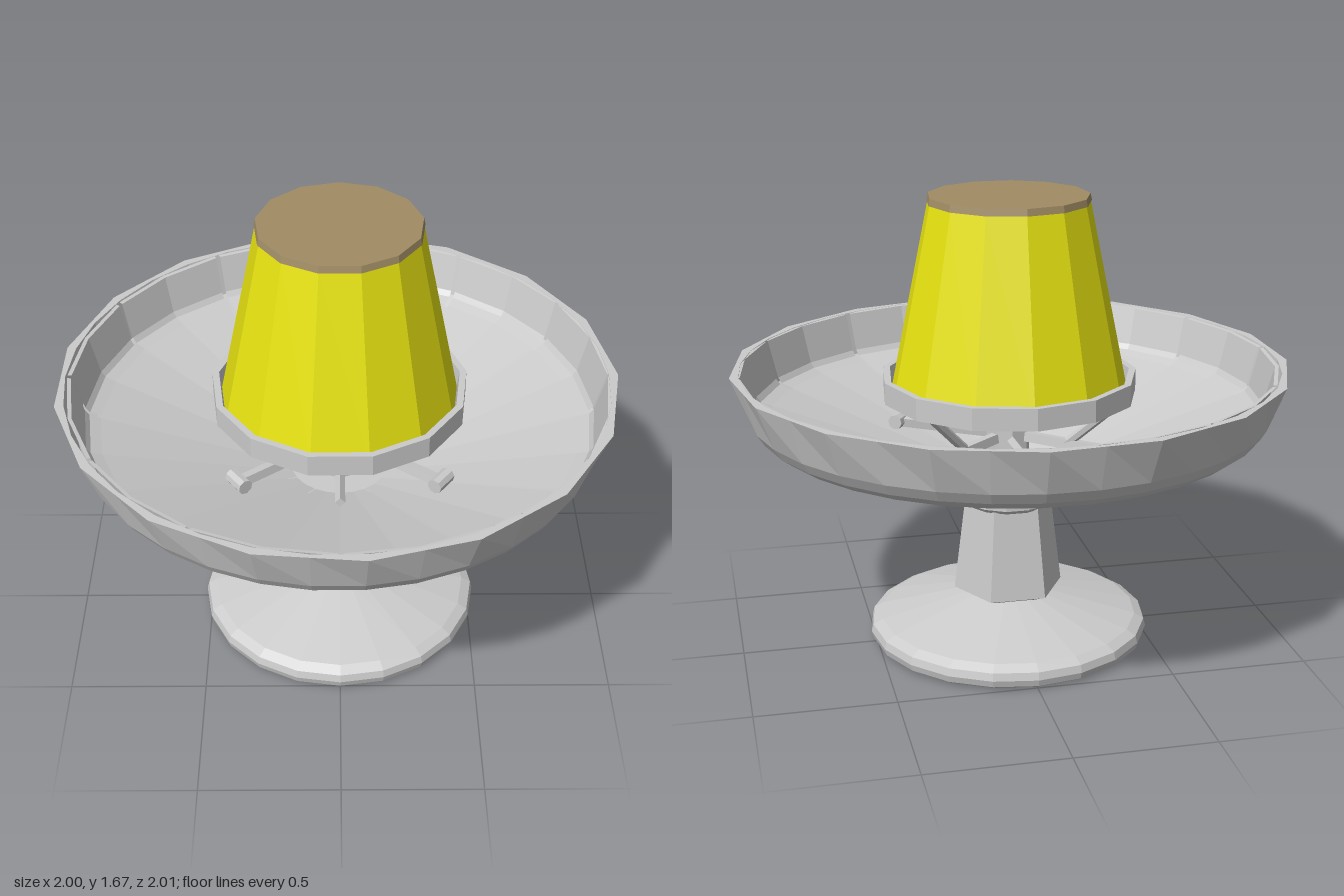
import * as THREE from 'three';

const material = (color) => new THREE.MeshStandardMaterial({ color, flatShading: true, side: THREE.DoubleSide });
const grey = material(0xcccccc);
const yellow = material(0xe8e411);
const brown = material(0xa18d65);

export function createModel() {
  const model = new THREE.Group();

  const add = (name, geometry, mat = grey, parent = model) => {
    const mesh = new THREE.Mesh(geometry, mat);
    mesh.name = name;
    parent.add(mesh);
    return mesh;
  };
  const lathe = (points, sides, start = 0, sweep = Math.PI * 2) =>
    new THREE.LatheGeometry(points.map(([r, y]) => new THREE.Vector2(r, y)), sides, start, sweep);
  // Square or round bar between two points
  const bar = (name, from, to, radius, sides, parent) => {
    const a = new THREE.Vector3(...from), b = new THREE.Vector3(...to);
    const mesh = add(name, new THREE.CylinderGeometry(radius, radius, a.distanceTo(b), sides), grey, parent);
    mesh.position.copy(a).lerp(b, 0.5);
    mesh.quaternion.setFromUnitVectors(new THREE.Vector3(0, 1, 0), b.sub(a).normalize());
    return mesh;
  };

  // Pedestal: rounded foot, neck, six-sided column, collar
  add('foot', lathe([[0, 0], [0.49, 0], [0.515, 0.015], [0.522, 0.04], [0.515, 0.068], [0.48, 0.088],
    [0.14, 0.175], [0, 0.175]], 20));
  add('neck', lathe([[0, 0.165], [0.14, 0.165], [0.2, 0.195], [0, 0.195]], 6)).rotation.y = Math.PI / 2;
  add('column', new THREE.CylinderGeometry(0.163, 0.205, 0.34, 6)).position.y = 0.365;
  model.getObjectByName('column').rotation.y = Math.PI / 2;
  add('collar', lathe([[0, 0.53], [0.16, 0.53], [0.175, 0.545], [0.175, 0.585], [0.165, 0.605], [0, 0.605]], 13));

  // Dish shell: 34 sides below, with a 17-sided rim that makes triangular facets
  const profile = [[0, 0.6], [0.17, 0.6], [0.88, 0.83], [0.92, 0.86], [0.945, 0.9], [1.008, 1.06],
    [0.975, 1.06], [0.938, 0.895], [0.88, 0.868], [0.2, 0.655], [0, 0.655]];
  const shell = lathe(profile, 34);
  const pos = shell.attributes.position;
  for (let i = 1; i < 34; i += 2) {
    const k = i * profile.length + 5, s = Math.cos(Math.PI / 17);
    pos.setXYZ(k, pos.getX(k) * s, pos.getY(k), pos.getZ(k) * s);
  }
  const dish = add('dish', shell);
  dish.rotation.y = Math.PI / 2;
  dish.position.x = -0.008;

  // Twelve lining panels with narrow gaps between them
  const panels = new THREE.Group();
  panels.name = 'dishPanels';
  model.add(panels);
  const gap = 0.009;
  for (let i = 0; i < 12; i++) {
    add('dishPanel', lathe([[0.976, 1.059], [0.962, 1.057], [0.925, 0.915], [0.91, 0.895], [0.87, 0.88], [0.18, 0.665]],
      2, i * Math.PI / 6 + gap, Math.PI / 6 - 2 * gap), grey, panels);
  }

  // Support frame: crossed arms with knuckles at the ends and struts up to the ring
  const frame = new THREE.Group();
  frame.name = 'supportFrame';
  model.add(frame);
  bar('hub', [0, 0.65, 0], [0, 0.95, 0], 0.08, 8, frame);
  for (const x of [-0.36, 0.36]) {
    for (const z of [-0.29, 0.26]) {
      bar('arm', [0, 0.79, 0], [x, 0.78, z], 0.024, 4, frame);
      bar('knuckle', [x - z * 0.1, 0.785, z + x * 0.1], [x + z * 0.1, 0.785, z - x * 0.1], 0.028, 8, frame);
      bar('strut', [x * 0.5, 0.78, z * 0.5], [x * 0.93, 0.96, z * 0.93], 0.018, 6, frame);
    }
  }
  for (const z of [-0.42, 0.4]) bar('crossArm', [0, 0.78, 0], [0, 0.8, z], 0.018, 4, frame);

  // Ring holding the pudding, and the pudding itself, thirteen sides each
  const top = new THREE.Group();
  top.name = 'puddingAndRing';
  top.position.z = -0.015;
  top.rotation.y = Math.PI;
  model.add(top);
  add('ring', lathe([[0.43, 0.95], [0.465, 0.95], [0.465, 1.03], [0.44, 1.03], [0.43, 0.95]], 13), grey, top);
  add('pudding', lathe([[0, 0.96], [0.433, 0.96], [0.29, 1.65], [0, 1.65]], 13), yellow, top);
  add('caramelTop', lathe([[0, 1.65], [0.294, 1.65], [0.289, 1.675], [0, 1.675]], 13), brown, top);

  return model;
}
